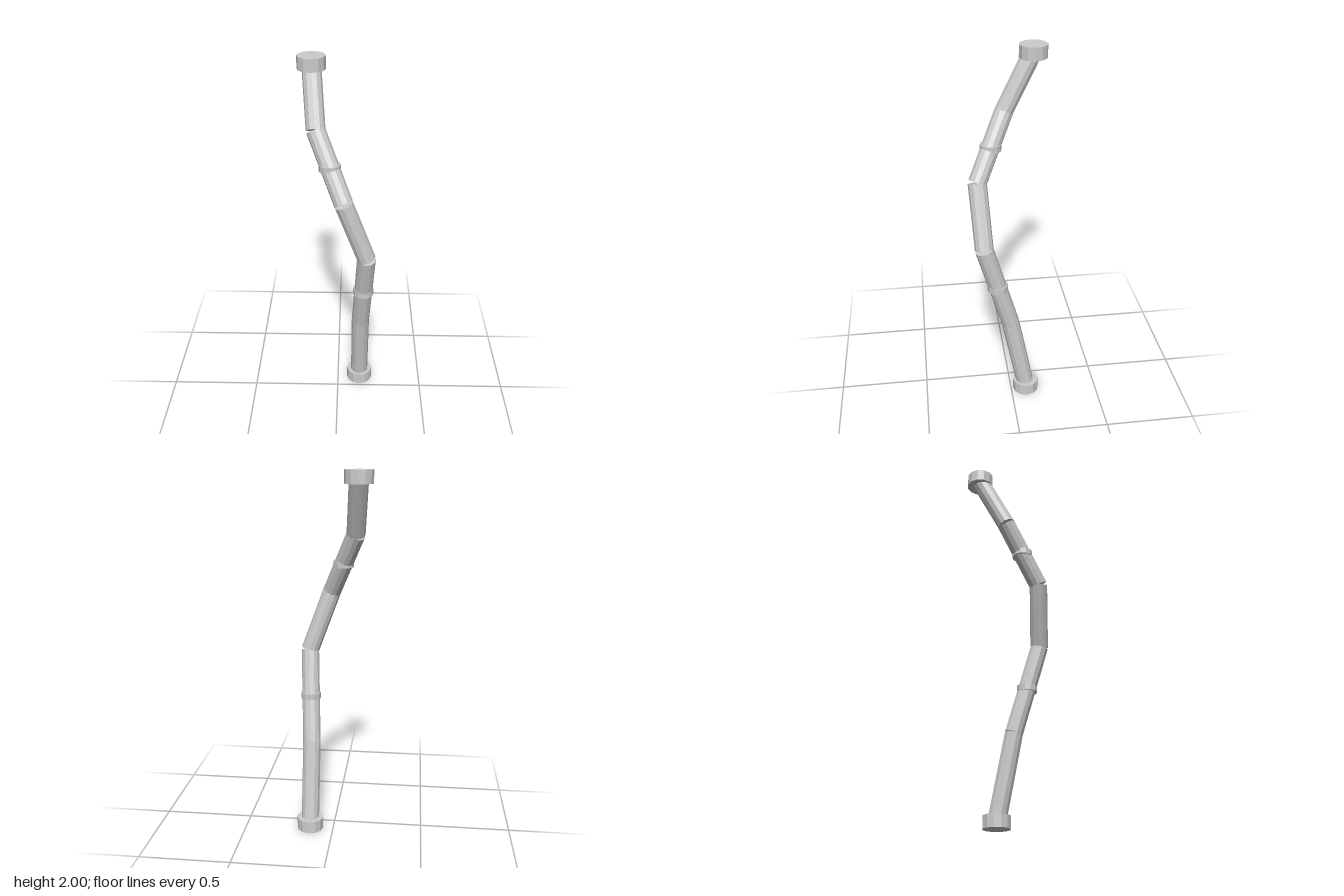
import * as THREE from 'three';

const SIDES = 12;
const UP = new THREE.Vector3(0, 1, 0);

export function createModel() {
  const model = new THREE.Group();
  const material = new THREE.MeshStandardMaterial({ color: 0xcccccc, flatShading: true });

  const add = (name, radius, height, position) => {
    const mesh = new THREE.Mesh(new THREE.CylinderGeometry(radius, radius, height, SIDES), material);
    mesh.name = name;
    mesh.position.copy(position);
    model.add(mesh);
    return mesh;
  };

  // Joints of the bent pipe, from bottom to top
  const joints = [
    [0.131, 0.034, -0.086],
    [0.131, 0.5, 0.005],
    [0.155, 1.0, 0.147],
    [0.033, 1.333, 0.166],
    [-0.111, 1.667, 0.008],
    [-0.136, 1.966, -0.144],
  ].map((p) => new THREE.Vector3(...p));

  // Straight pipe lengths, simply butted at the joints
  for (let i = 0; i < joints.length - 1; i++) {
    const axis = joints[i + 1].clone().sub(joints[i]);
    const middle = joints[i].clone().lerp(joints[i + 1], 0.5);
    const pipe = add(`pipeSegment${i + 1}`, 0.05, axis.length(), middle);
    pipe.quaternion.setFromUnitVectors(UP, axis.normalize());
  }

  // Level collars halfway along the second and fourth lengths
  for (const i of [1, 3]) {
    add('collar', 0.056, 0.036, joints[i].clone().lerp(joints[i + 1], 0.5));
  }

  // Level flanges at both ends
  add('bottomFlange', 0.074, 0.068, joints[0]);
  add('topFlange', 0.074, 0.068, joints[joints.length - 1]);

  return model;
}
